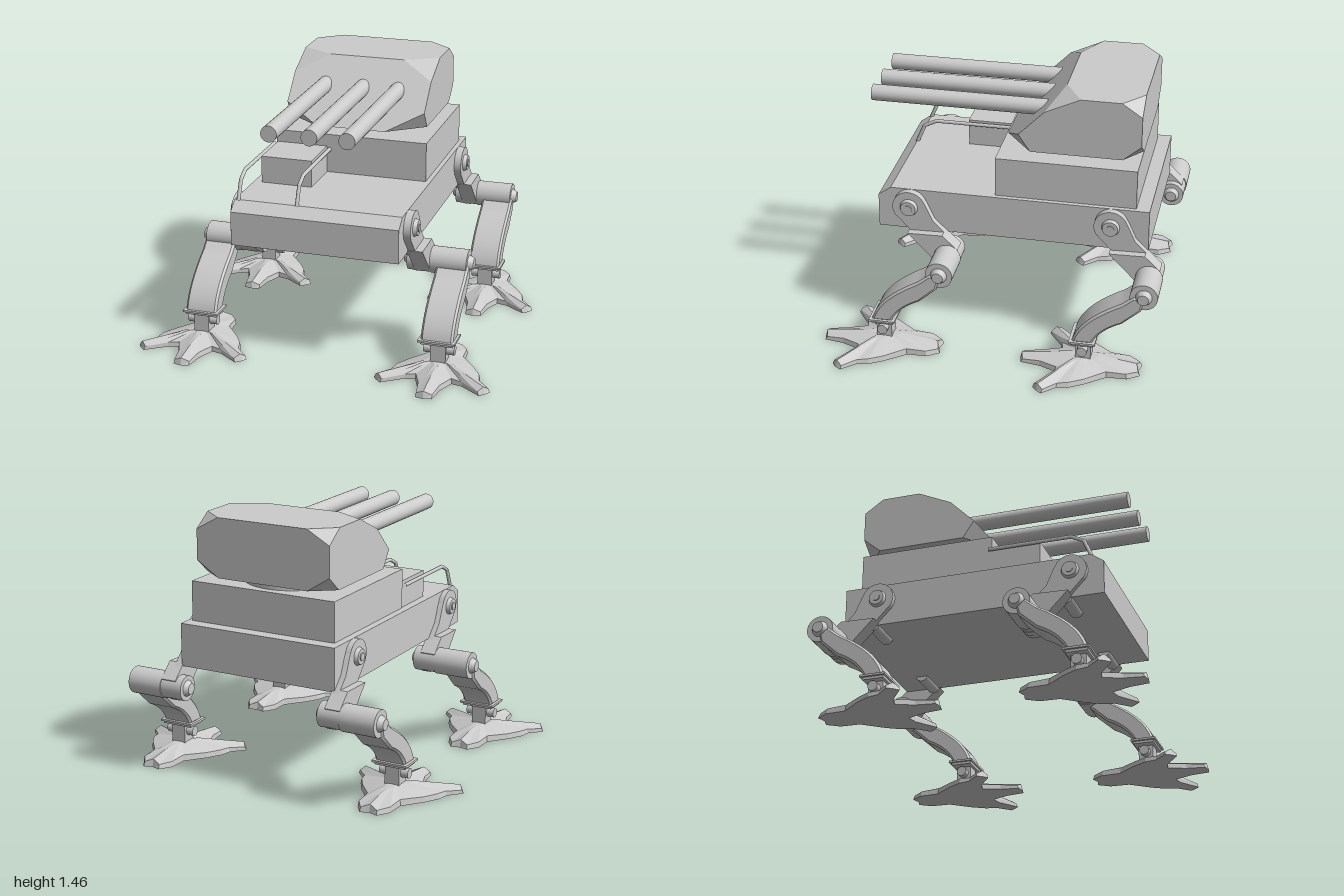
import * as THREE from 'three';
import { toCreasedNormals } from 'three/addons/utils/BufferGeometryUtils.js';
import { ConvexGeometry } from 'three/addons/geometries/ConvexGeometry.js';

const grey = new THREE.MeshStandardMaterial({ color: 0xcccccc });
const faceted = new THREE.MeshStandardMaterial({ color: 0xcccccc, flatShading: true });

function add(parent, name, geometry, x = 0, y = 0, z = 0, material = grey) {
  const mesh = new THREE.Mesh(geometry, material);
  mesh.name = name;
  mesh.position.set(x, y, z);
  parent.add(mesh);
  return mesh;
}

// Box given by its low and high corners
function block(parent, name, [x0, y0, z0], [x1, y1, z1]) {
  return add(parent, name, new THREE.BoxGeometry(x1 - x0, y1 - y0, z1 - z0),
    (x0 + x1) / 2, (y0 + y1) / 2, (z0 + z1) / 2);
}

// Side profile in (z, y), extruded along x and centred on x = 0
function sideGeometry(shape, width, bevel = 0) {
  const geo = new THREE.ExtrudeGeometry(shape, {
    depth: width - 2 * bevel, curveSegments: 16, bevelEnabled: bevel > 0,
    bevelThickness: bevel, bevelSize: bevel, bevelOffset: -bevel, bevelSegments: 1,
  });
  geo.translate(0, 0, bevel - width / 2).rotateY(-Math.PI / 2);
  return toCreasedNormals(geo, 0.5);
}
const polygon = (pts) => new THREE.Shape(pts.map(([z, y]) => new THREE.Vector2(z, y)));

// Cylinder along x between two distances from the middle, on side s
function pin(parent, name, s, from, to, y, z, r, rOuter = r) {
  const mesh = add(parent, name, new THREE.CylinderGeometry(rOuter, r, Math.abs(to - from), 32),
    s * (from + to) / 2, y, z);
  mesh.rotation.z = -s * Math.sign(to - from) * Math.PI / 2;
  return mesh;
}

// Flat-bottomed clawed foot: stacked, shrinking loops of one toe outline
function footGeometry() {
  // dx, dz, height of the upper rim
  const half = [
    [0, 0.355, 0.04], [0.045, 0.345, 0.02], [0.06, 0.24, 0.03], [0.1, 0.14, 0.03],
    [0.16, 0.155, 0.025], [0.27, 0.235, 0.02], [0.297, 0.21, 0.04], [0.318, 0.18, 0.02],
    [0.25, 0.11, 0.025], [0.235, 0.045, 0.03], [0.19, -0.03, 0.03], [0.1, -0.14, 0.035],
    [0.095, -0.25, 0.03], [0.05, -0.315, 0.025], [0, -0.3, 0.045],
  ];
  const outline = [...half, ...half.slice(1, -1).reverse().map(([x, z, h]) => [-x, z, h])];
  const n = outline.length;
  const pos = [], index = [];
  const layers = [
    (x, z) => [x, 0, z],
    (x, z, h) => [x * 0.97, h, z * 0.97],
    (x, z, h) => [x * 0.6, 0.035 + h * 0.55, z * 0.6],
    (x, z) => [x * 0.27, 0.07, z * 0.27],
  ];
  for (const layer of layers) for (const p of outline) pos.push(...layer(...p));
  const bottom = pos.length / 3, top = bottom + 1;
  pos.push(0, 0, 0, 0, 0.072, 0);
  for (let i = 0; i < n; i++) {
    const j = (i + 1) % n;
    for (let k = 0; k < layers.length - 1; k++) {
      const a = k * n + i, b = k * n + j;
      index.push(a, b, b + n, a, b + n, a + n);
    }
    index.push(bottom, j, i, top, (layers.length - 1) * n + i, (layers.length - 1) * n + j);
  }
  const geo = new THREE.BufferGeometry();
  geo.setAttribute('position', new THREE.Float32BufferAttribute(pos, 3));
  geo.setIndex(index);
  geo.computeVertexNormals();
  return geo;
}

function buildLeg(name, s, dz) {
  const leg = new THREE.Group();
  leg.name = name;
  leg.position.z = dz;

  // Hip plate: round at the hip, sloping back to the knee
  const plate = new THREE.Shape();
  plate.moveTo(0.55, 0.715);
  plate.lineTo(0.3, 0.45);
  plate.absarc(0.258, 0.51, 0.073, -0.9, 0.9 - Math.PI * 2 + Math.PI + 0.05, true);
  plate.lineTo(0.21, 0.567);
  plate.lineTo(0.345, 0.7);
  plate.lineTo(0.39, 0.8);
  plate.absarc(0.48, 0.772, 0.092, 2.8, -0.7, true);
  add(leg, 'hipPlate', sideGeometry(plate, 0.045), s * 0.484);

  // Thick lower part of the link
  const link = polygon([[0.48, 0.635], [0.30, 0.45], [0.2, 0.56], [0.285, 0.64]]);
  add(leg, 'kneeLink', sideGeometry(link, 0.09), s * 0.505);
  pin(leg, 'hipCap', s, 0.5, 0.528, 0.772, 0.48, 0.052, 0.042);
  pin(leg, 'hipBolt', s, 0.5, 0.534, 0.772, 0.48, 0.022);
  pin(leg, 'hullAxle', s, 0.27, 0.47, 0.635, 0.445, 0.037);

  // Knee joint
  pin(leg, 'kneeHub', s, 0.42, 0.55, 0.51, 0.258, 0.07);
  pin(leg, 'kneeBarrel', s, 0.55, 0.755, 0.51, 0.258, 0.075);
  pin(leg, 'kneeOuterCap', s, 0.755, 0.785, 0.51, 0.258, 0.045, 0.03);
  pin(leg, 'kneeInnerCap', s, 0.42, 0.395, 0.51, 0.258, 0.045, 0.03);

  // Curved shin
  const shin = new THREE.Shape();
  shin.moveTo(0.25, 0.5);
  shin.lineTo(0.27, 0.425);
  shin.lineTo(0.37, 0.335);
  shin.quadraticCurveTo(0.49, 0.28, 0.53, 0.19);
  shin.lineTo(0.64, 0.19);
  shin.quadraticCurveTo(0.61, 0.33, 0.375, 0.457);
  shin.lineTo(0.31, 0.51);
  add(leg, 'shin', sideGeometry(shin, 0.18, 0.012), s * 0.675);

  // Ankle
  add(leg, 'anklePlate', new THREE.BoxGeometry(0.205, 0.012, 0.145), s * 0.675, 0.191, 0.582);
  add(leg, 'ankleLowerPlate', new THREE.BoxGeometry(0.18, 0.014, 0.12), s * 0.675, 0.178, 0.582);
  add(leg, 'ankleBlock', new THREE.BoxGeometry(0.085, 0.12, 0.085), s * 0.68, 0.12, 0.582);
  pin(leg, 'anklePin', s, 0.595, 0.765, 0.132, 0.582, 0.028);

  add(leg, 'foot', footGeometry(), s * 0.682, 0, 0.58, faceted);
  return leg;
}

export function createModel() {
  const model = new THREE.Group();
  model.name = 'walker';

  // Hull with a bevelled nose, upper deck and front box
  const hull = polygon([[0.66, 0.625], [0.66, 0.815], [0.59, 0.865], [-0.835, 0.865], [-0.835, 0.625]]);
  add(model, 'hull', sideGeometry(hull, 0.943), -0.005);
  block(model, 'upperDeck', [-0.435, 0.865, -0.76], [0.44, 1.087, 0.012]);
  block(model, 'frontBox', [-0.43, 0.865, 0], [-0.138, 1.017, 0.288]);

  // Bent hand rails either side of the front box
  for (const x of [-0.455, -0.122]) {
    const path = new THREE.CurvePath();
    const pts = [[0.59, 0.86], [0.545, 0.965], [0.475, 1.0], [0, 1.0]]
      .map(([z, y]) => new THREE.Vector3(x, y, z));
    for (let i = 0; i < 3; i++) path.add(new THREE.LineCurve3(pts[i], pts[i + 1]));
    add(model, 'handRail', new THREE.TubeGeometry(path, 48, 0.011, 8));
  }

  // Turret: wedge with every corner cut off
  add(model, 'turretNeck', new THREE.CylinderGeometry(0.261, 0.261, 0.06, 40), -0.008, 1.105, -0.453);
  const corners = [];
  for (const s of [-1, 1]) {
    corners.push(
      [s * 0.2, 1.125, -0.01], [s * 0.403, 1.222, -0.105], [s * 0.403, 1.125, -0.17],
      [s * 0.22, 1.455, -0.337], [s * 0.403, 1.365, -0.247], [s * 0.403, 1.455, -0.44],
      [s * 0.27, 1.455, -0.77], [s * 0.403, 1.38, -0.77], [s * 0.403, 1.455, -0.66],
      [s * 0.27, 1.125, -0.77], [s * 0.403, 1.21, -0.77], [s * 0.403, 1.125, -0.67],
    );
  }
  add(model, 'turret', new ConvexGeometry(corners.map((p) => new THREE.Vector3(...p))),
    -0.008, 0, 0, faceted);

  // Three gun barrels
  for (const x of [-0.22, 0.002, 0.208]) {
    add(model, 'barrel', new THREE.CylinderGeometry(0.045, 0.045, 1.05, 28), x, 1.307, 0.22)
      .rotation.x = Math.PI / 2;
  }

  for (const [side, s] of [['left', 1], ['right', -1]]) {
    model.add(buildLeg(side + 'FrontLeg', s, 0), buildLeg(side + 'RearLeg', s, -1.113));
  }
  return model;
}
